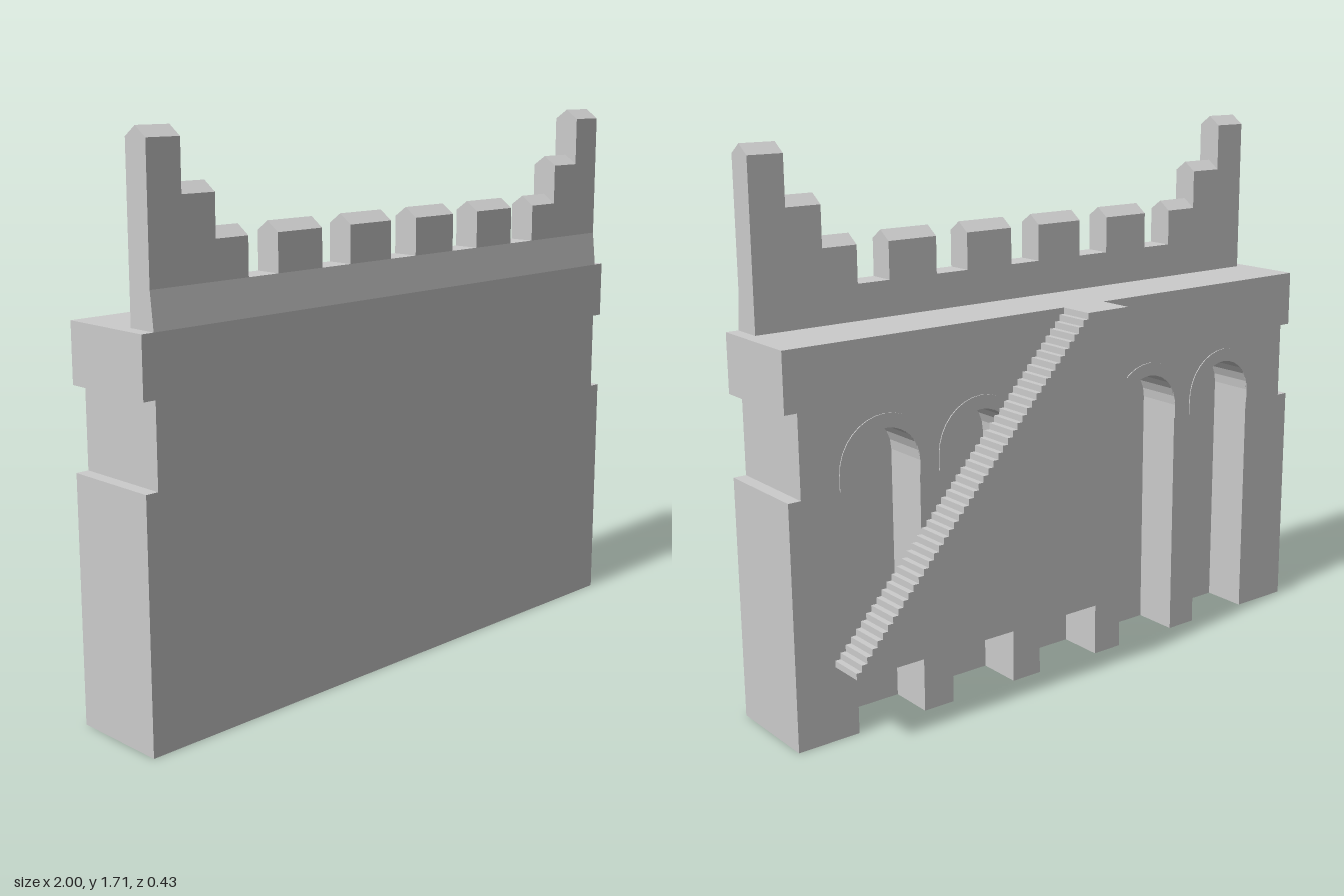
import * as THREE from 'three';

const material = new THREE.MeshStandardMaterial({ color: 0xcccccc, flatShading: true, side: THREE.DoubleSide });
const BACK = -0.1, FRONT = 0.215, TOP = 1.18, HALF = 0.96;
const NICHE_X = [-0.68, -0.34, 0, 0.34, 0.68];
const NICHE_R = 0.117, SPRING = 0.795, NICHE_Z = 0.05;

function mesh(name, geometry, parent) {
  const m = new THREE.Mesh(geometry, material);
  m.name = name;
  parent.add(m);
  return m;
}

const toShape = (pts) => new THREE.Shape(pts.map(([x, y]) => new THREE.Vector2(x, y)));

// Flat panel with the given outline at depth z
function panel(pts, z) {
  return new THREE.ShapeGeometry(toShape(pts)).translate(0, 0, z);
}

// Open band that carries a polyline from depth z0 to z1
function band(pts, z0, z1) {
  const pos = [];
  for (let i = 0; i + 1 < pts.length; i++) {
    const [ax, ay] = pts[i], [bx, by] = pts[i + 1];
    pos.push(ax, ay, z0, ax, ay, z1, bx, by, z1, ax, ay, z0, bx, by, z1, bx, by, z0);
  }
  const g = new THREE.BufferGeometry();
  g.setAttribute('position', new THREE.Float32BufferAttribute(pos, 3));
  g.computeVertexNormals();
  return g;
}

// Round-headed outline from foot to foot, left to right
function archLine(cx, r, foot, spring, n = 12) {
  const pts = [[cx - r, foot]];
  for (let i = 0; i <= n; i++) {
    const a = Math.PI * (1 - i / n);
    pts.push([cx + r * Math.cos(a), spring + r * Math.sin(a)]);
  }
  pts.push([cx + r, foot]);
  return pts;
}

// Section given as [z, y], extruded from x0 to x1
function alongX(section, x0, x1) {
  const g = new THREE.ExtrudeGeometry(toShape(section.map(([z, y]) => [-z, y])),
    { depth: x1 - x0, bevelEnabled: false });
  return g.rotateY(Math.PI / 2).translate(x0, 0, 0);
}

function buildWall() {
  const g = new THREE.Group();
  g.name = 'wall';
  const shell = [[-HALF, 0], [-HALF, TOP], [HALF, TOP], [HALF, 0]];
  mesh('wallEndsAndWalkway', band(shell, BACK, FRONT), g);
  mesh('frontFace', panel(shell, FRONT), g);

  // Back face with niches open at the ground
  const niches = NICHE_X.map((x) => archLine(x, NICHE_R, 0, SPRING));
  mesh('backFace', panel([[-HALF, 0], ...niches.flat(), [HALF, 0], [HALF, TOP], [-HALF, TOP]], BACK), g);
  niches.forEach((line, i) => {
    mesh('nicheLining', band(line, BACK, NICHE_Z), g);
    mesh('nicheBack', panel(line, NICHE_Z), g);
    // Thin moulding around the arch
    const outer = archLine(NICHE_X[i], 0.155, 0.75, 0.8, 16);
    const inner = archLine(NICHE_X[i], NICHE_R, 0.75, SPRING, 16).reverse();
    mesh('archMoulding', new THREE.ExtrudeGeometry(toShape([...outer, ...inner]),
      { depth: 0.003, bevelEnabled: false }).translate(0, 0, BACK - 0.003), g);
  });

  // Blocks on both ends, leaving a notch between them
  for (const side of [-1, 1]) {
    for (const [y0, y1] of [[0, 0.75], [1, TOP]]) {
      const block = mesh('endBlock', new THREE.BoxGeometry(1 - HALF, y1 - y0, FRONT - BACK), g);
      block.position.set(side * (1 + HALF) / 2, (y0 + y1) / 2, (FRONT + BACK) / 2);
    }
  }
  return g;
}

function buildParapet() {
  const g = new THREE.Group();
  g.name = 'parapet';
  const z0 = 0.117, z1 = 0.203, sill = 1.29;
  mesh('parapetBase', alongX([[z0, TOP], [FRONT, TOP], [z1, sill], [z0, sill]], -HALF, HALF), g);

  // Gabled merlons, rising in steps towards both ends
  const merlons = [[0.055, 0.225, 1.435], [0.34, 0.51, 1.435], [0.62, 0.735, 1.435],
    [0.735, 0.848, 1.56], [0.848, HALF, 1.71]];
  for (const [a, b, top] of merlons) {
    const section = [[z0, sill], [z1, sill], [z1, top - 0.03], [(z0 + z1) / 2, top], [z0, top - 0.03]];
    mesh('merlon', alongX(section, a, b), g);
    mesh('merlon', alongX(section, -b, -a), g);
  }
  return g;
}

function buildStairs() {
  const g = new THREE.Group();
  g.name = 'stairs';
  const steps = 48, low = 0.23, xLow = 0.87, xTop = 0.02, zOut = -0.215;
  const rise = (TOP - low) / steps, run = (xLow - xTop) / (steps - 1);
  const line = [[xLow, low]];
  for (let i = 0; i < steps; i++) {
    const x = xLow - i * run, y = low + (i + 1) * rise;
    line.push([x, y]);
    if (i < steps - 1) line.push([x - run, y]);
  }
  // Landing and its end
  line.push([-0.14, TOP], [-0.14, low]);
  mesh('stepsAndLanding', band(line, zOut, BACK), g);
  mesh('stairSide', panel(line, zOut), g);
  return g;
}

export function createModel() {
  const model = new THREE.Group();
  model.name = 'battlementWall';
  model.add(buildWall(), buildParapet(), buildStairs());
  return model;
}
